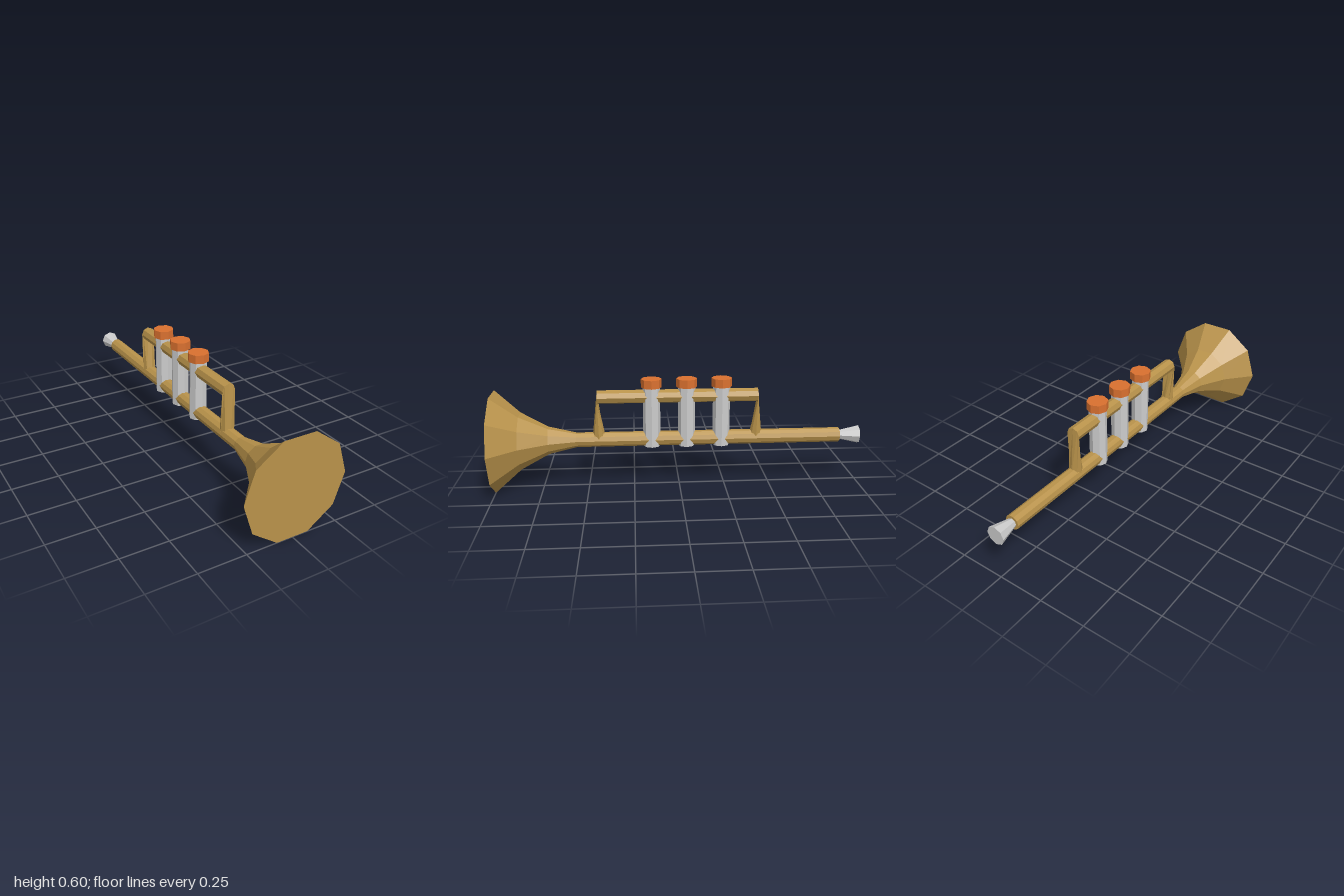
import * as THREE from 'three';

const AXIS_Y = 0.267;
const material = (color) => new THREE.MeshStandardMaterial({ color, flatShading: true });

export function createModel() {
  const group = new THREE.Group();
  const brass = material(0xb8924a);
  const grey = material(0xcccccc);
  const copper = material(0xd9702f);

  function add(name, geometry, mat, x, y, z) {
    const mesh = new THREE.Mesh(geometry, mat);
    mesh.name = name;
    mesh.position.set(x, y, z);
    group.add(mesh);
    return mesh;
  }

  // Main tube flaring into the closed bell: radius and z
  const profile = [
    [0, -0.89], [0.04, -0.89], [0.04, 0.56], [0.075, 0.71],
    [0.155, 0.86], [0.278, 1], [0, 1],
  ].map(([r, z]) => new THREE.Vector2(r, z));
  const horn = new THREE.LatheGeometry(profile, 10, Math.PI / 2);
  horn.rotateX(Math.PI / 2);
  add('mainTubeAndBell', horn, brass, 0, AXIS_Y, 0);

  // Mouthpiece, widening toward the back
  const mouthpiece = new THREE.CylinderGeometry(0.025, 0.051, 0.11, 8);
  mouthpiece.rotateX(Math.PI / 2);
  add('mouthpiece', mouthpiece, grey, 0, AXIS_Y, -0.945);

  // Upper tube with its two legs: rings lofted along a squared loop
  add('upperTube', loftLoop(), brass, 0, 0, 0);

  // Three valves with caps
  [0.15, -0.04, -0.23].forEach((z, i) => {
    add('valve' + (i + 1), new THREE.CylinderGeometry(0.047, 0.047, 0.33, 8), grey, 0, 0.392, z);
    add('valveCap' + (i + 1), new THREE.CylinderGeometry(0.056, 0.056, 0.046, 8), copper, 0, 0.579, z);
  });
  return group;
}

// Each ring has a centre (y, z) and an outward direction (y, z)
function loftLoop() {
  const sides = 8, radius = 0.037;
  const rings = [
    { y: 0.27, z: -0.42, dy: 0, dz: -1 },
    { y: 0.506, z: -0.428, dy: 1, dz: 0 },
    { y: 0.506, z: 0.442, dy: 1, dz: 0 },
    { y: 0.27, z: 0.437, dy: 0, dz: 1 },
  ];
  const positions = [], index = [];
  rings.forEach((ring, i) => {
    for (let j = 0; j < sides; j++) {
      const a = (j / sides) * Math.PI * 2;
      const out = Math.cos(a) * radius;
      positions.push(Math.sin(a) * radius, ring.y + ring.dy * out, ring.z + ring.dz * out);
      if (i < rings.length - 1) {
        const k = (j + 1) % sides;
        const a0 = i * sides + j, a1 = i * sides + k;
        index.push(a0, a0 + sides, a1, a1, a0 + sides, a1 + sides);
      }
    }
  });
  const geometry = new THREE.BufferGeometry();
  geometry.setAttribute('position', new THREE.Float32BufferAttribute(positions, 3));
  geometry.setIndex(index);
  geometry.computeVertexNormals();
  return geometry;
}
